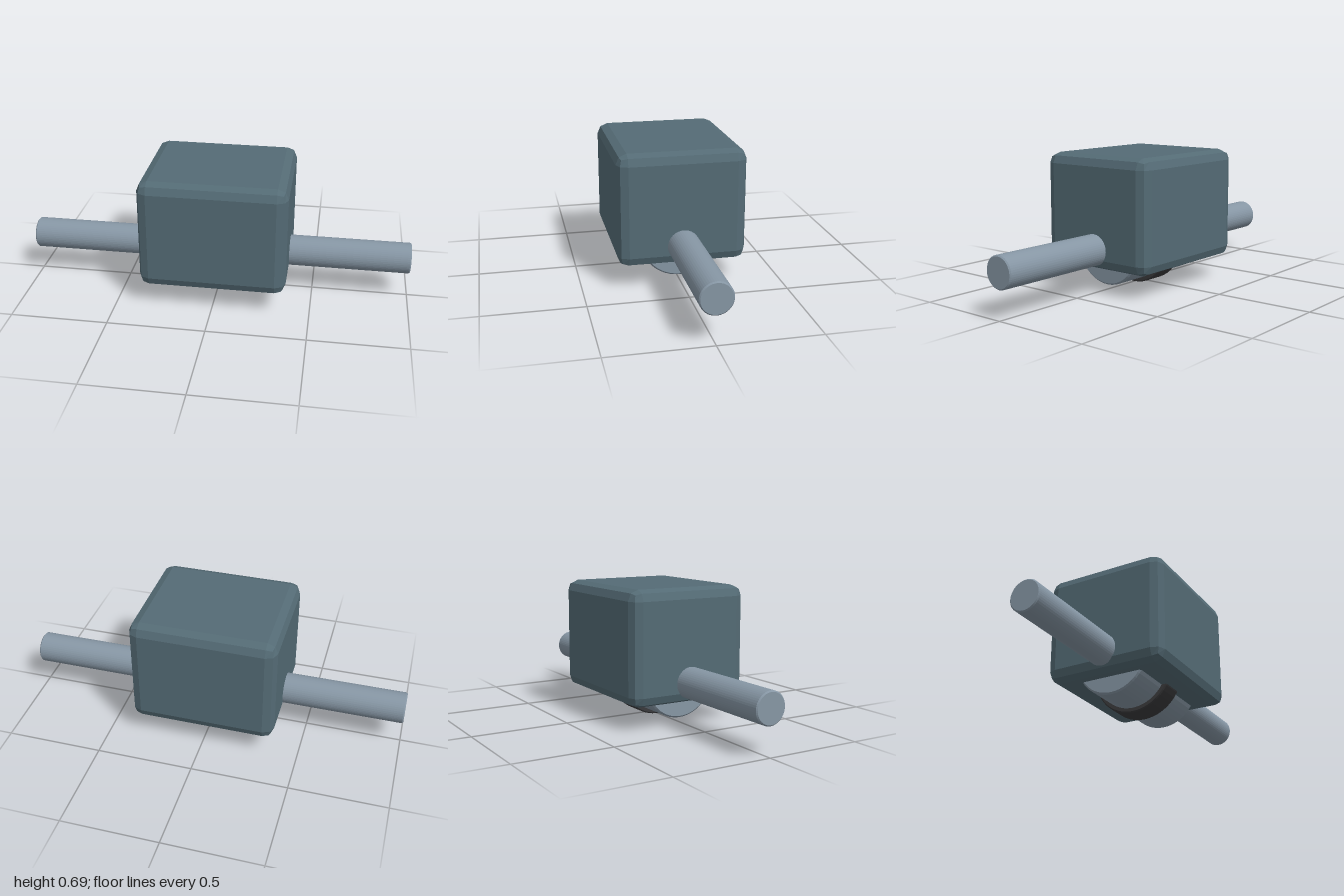
import * as THREE from 'three';
import { RoundedBoxGeometry } from 'three/addons/geometries/RoundedBoxGeometry.js';

const AXIS_Y = 0.221; // shared height of the axle, drum and band

function material(name, color) {
  const m = new THREE.MeshStandardMaterial({ color, flatShading: true });
  m.name = name;
  return m;
}

// Cylinder lying along x with small chamfers on both rims
function roller(name, radius, halfLength, chamfer, mat) {
  const profile = [
    [0, -halfLength], [radius - chamfer, -halfLength], [radius, -halfLength + chamfer],
    [radius, halfLength - chamfer], [radius - chamfer, halfLength], [0, halfLength],
  ].map(([r, y]) => new THREE.Vector2(r, y));
  const mesh = new THREE.Mesh(new THREE.LatheGeometry(profile, 48), mat);
  mesh.name = name;
  mesh.rotation.z = -Math.PI / 2;
  mesh.position.y = AXIS_Y;
  return mesh;
}

export function createModel() {
  const model = new THREE.Group();
  model.name = 'housingWithAxle';
  const slate = material('slate housing', 0x546b75);
  const steel = material('pale steel', 0x8696a4);
  const rubber = material('dark rubber', 0x3a3a3c);

  // Housing block with faceted edges
  const housing = new THREE.Mesh(new RoundedBoxGeometry(0.75, 0.573, 0.648, 1, 0.054), slate);
  housing.name = 'housing';
  housing.position.y = 0.4035;
  model.add(housing);

  // Long axle, drum below the housing, and the band around the drum
  model.add(roller('axle', 0.08, 1, 0.006, steel));
  model.add(roller('drum', 0.197, 0.278, 0.008, steel));
  model.add(roller('drumBand', 0.221, 0.063, 0.006, rubber));
  return model;
}
